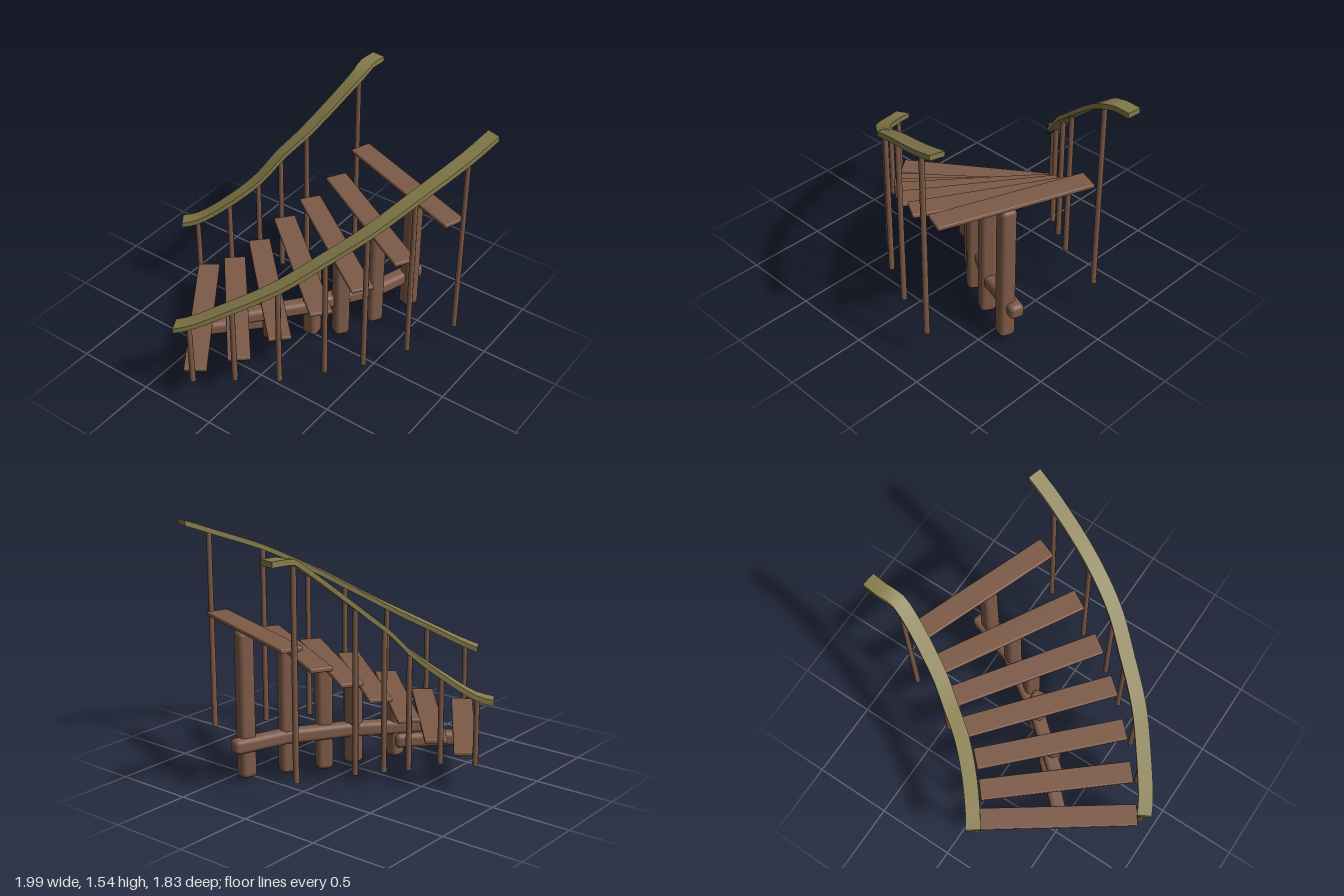
import * as THREE from 'three';
import { toCreasedNormals } from 'three/addons/utils/BufferGeometryUtils.js';
import { RoundedBoxGeometry } from 'three/addons/geometries/RoundedBoxGeometry.js';

const wood = new THREE.MeshStandardMaterial({ color: 0x7d5a47 });
wood.name = 'brown wood';
const olive = new THREE.MeshStandardMaterial({ color: 0x857b4a });
olive.name = 'olive rail';

// Rounded beam laid between two points, its length along local x
function beam(name, a, b, height, width, radius) {
  const from = new THREE.Vector3(...a), to = new THREE.Vector3(...b);
  const dir = to.clone().sub(from);
  const mesh = new THREE.Mesh(new RoundedBoxGeometry(dir.length(), height, width, 3, radius), wood);
  mesh.position.copy(from).add(to).multiplyScalar(0.5);
  mesh.rotation.y = Math.atan2(-dir.z, dir.x);
  mesh.name = name;
  return mesh;
}

// Flat handrail swept along a curve, kept level from side to side
function railGeometry(points, width, thickness) {
  const curve = new THREE.CatmullRomCurve3(points.map((p) => new THREE.Vector3(...p)));
  const steps = 32, pos = [], idx = [];
  const up = new THREE.Vector3(0, 1, 0);
  const corners = [[-1, -1], [1, -1], [1, 1], [-1, 1]];
  for (let i = 0; i <= steps; i++) {
    const p = curve.getPointAt(i / steps);
    const side = curve.getTangentAt(i / steps).cross(up).normalize();
    for (const [s, h] of corners) {
      const v = p.clone().addScaledVector(side, s * width / 2).addScaledVector(up, h * thickness / 2);
      pos.push(v.x, v.y, v.z);
    }
    if (i === steps) continue;
    for (let k = 0; k < 4; k++) {
      const a = i * 4 + k, b = i * 4 + (k + 1) % 4;
      idx.push(a, a + 4, b, b, a + 4, b + 4);
    }
  }
  const e = steps * 4;
  idx.push(0, 1, 2, 0, 2, 3, e, e + 2, e + 1, e, e + 3, e + 2);
  const geo = new THREE.BufferGeometry();
  geo.setAttribute('position', new THREE.Float32BufferAttribute(pos, 3));
  geo.setIndex(idx);
  return toCreasedNormals(geo, 0.6);
}

// Posts of one side with the handrail resting on them
function railing(side, posts, start, end) {
  const group = new THREE.Group();
  group.name = side + 'Railing';
  const path = [start];
  for (const [x, z, bottom, top] of posts) {
    const post = new THREE.Mesh(new THREE.CylinderGeometry(0.016, 0.018, top - bottom, 8), wood);
    post.position.set(x, (top + bottom) / 2, z);
    post.name = side + 'Post';
    group.add(post);
    path.push([x, top + 0.015, z]);
  }
  path.push(...end);
  const rail = new THREE.Mesh(railGeometry(path, 0.088, 0.034), olive);
  rail.name = side + 'Handrail';
  group.add(rail);
  return group;
}

export function createModel() {
  const model = new THREE.Group();
  model.name = 'curvedStaircase';

  // Treads: height, inner end x z, outer end x z
  const treads = [
    [0.24, -0.085, -0.75, -0.895, -0.18],
    [0.31, 0.005, -0.605, -0.725, 0.02],
    [0.44, 0.115, -0.485, -0.555, 0.195],
    [0.583, 0.255, -0.385, -0.365, 0.355],
    [0.695, 0.4, -0.29, -0.155, 0.5],
    [0.808, 0.565, -0.205, 0.085, 0.635],
    [0.955, 0.745, -0.145, 0.41, 0.76],
  ];
  for (const [y, x0, z0, x1, z1] of treads)
    model.add(beam('tread', [x0, y, z0], [x1, y, z1], 0.027, 0.138, 0.008));

  // Upright supports: x, z, bottom, top, turned to match their tread
  const columns = [
    [-0.22, -0.13, 0.052, 0.435, 2],
    [-0.01, 0.03, 0.03, 0.578, 3],
    [0.125, 0.155, 0.0, 0.69, 4],
    [0.34, 0.265, 0.015, 0.803, 5],
    [0.59, 0.37, 0.035, 0.95, 6],
  ];
  for (const [x, z, bottom, top, t] of columns) {
    const [, x0, z0, x1, z1] = treads[t];
    const column = new THREE.Mesh(new RoundedBoxGeometry(0.1, top - bottom, 0.1, 3, 0.03), wood);
    column.position.set(x, (top + bottom) / 2, z);
    column.rotation.y = Math.atan2(-(z1 - z0), x1 - x0) + (t < 4 ? Math.PI / 4 : 0);
    column.name = 'supportColumn';
    model.add(column);
  }

  // Logs running under the treads
  const logs = [
    [[-0.54, 0.16, -0.485], [-0.19, 0.16, -0.155]],
    [[-0.36, 0.245, -0.27], [0.03, 0.245, 0.06]],
    [[-0.02, 0.25, 0.015], [0.38, 0.25, 0.275]],
    [[0.33, 0.25, 0.255], [0.7, 0.25, 0.375]],
  ];
  for (const [a, b] of logs) model.add(beam('stringerLog', a, b, 0.092, 0.092, 0.03));

  // Railings: post x, z, bottom, top
  model.add(railing('outer', [
    [-0.92, -0.18, 0.18, 0.61],
    [-0.77, 0.02, 0.185, 0.73],
    [-0.6, 0.22, 0.165, 0.86],
    [-0.39, 0.4, 0.175, 1.015],
    [-0.2, 0.55, 0.175, 1.15],
    [0.065, 0.69, 0.175, 1.3],
    [0.4, 0.82, 0.2, 1.44],
  ], [-0.96, 0.595, -0.255], [[0.575, 1.525, 0.87]]));
  model.add(railing('inner', [
    [-0.1, -0.81, 0.18, 0.59],
    [0.03, -0.65, 0.195, 0.72],
    [0.165, -0.52, 0.165, 0.865],
    [0.29, -0.435, 0.17, 1.015],
    [0.435, -0.34, 0.175, 1.155],
    [0.785, -0.195, 0.2, 1.445],
  ], [-0.155, 0.58, -0.89], [[0.87, 1.485, -0.2], [0.99, 1.49, -0.19]]));

  return model;
}
